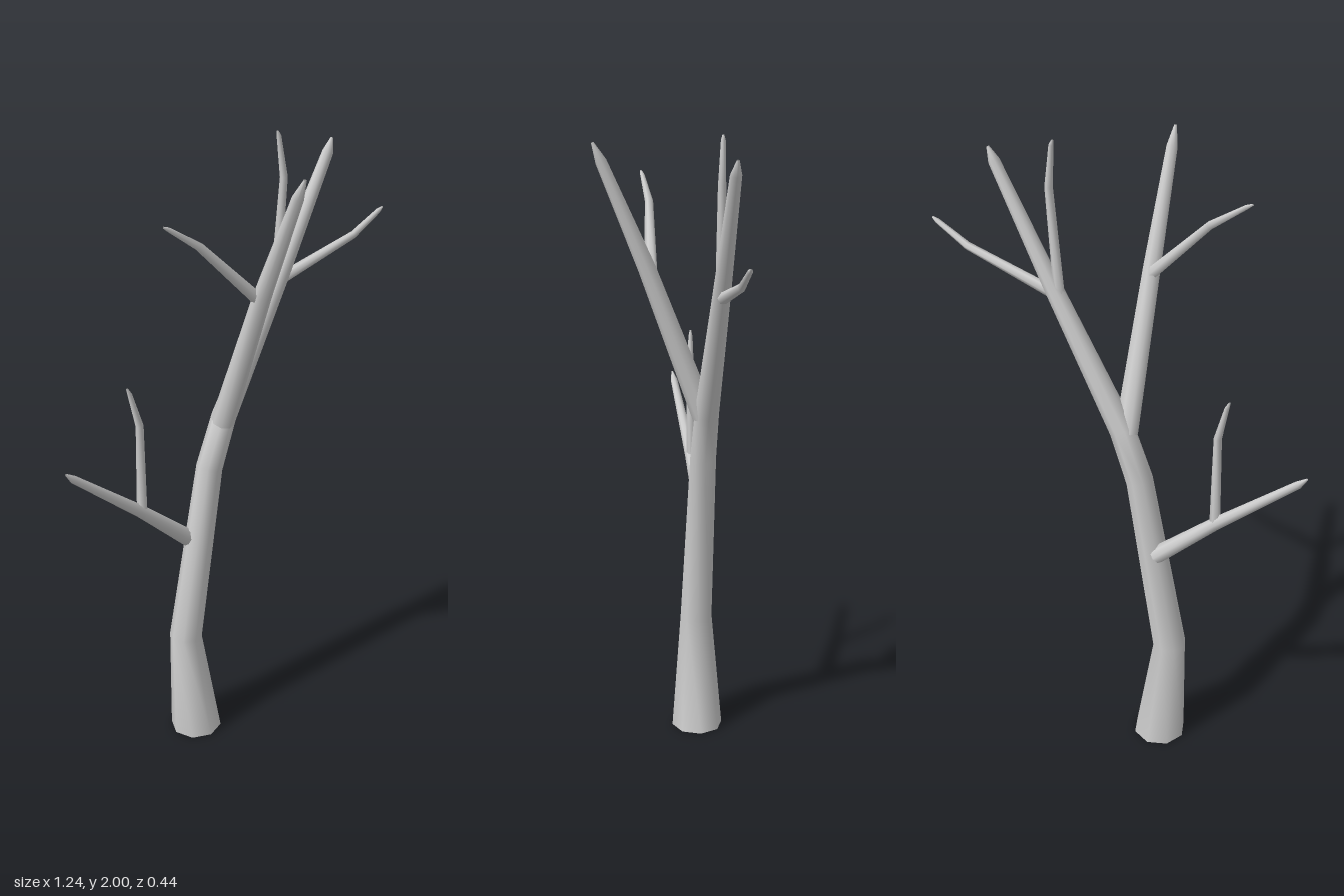
import * as THREE from 'three';

const bark = new THREE.MeshStandardMaterial({ color: 0xcccccc, side: THREE.DoubleSide });
bark.name = 'grey bark';

// Tapered limb: rings of vertices swept along stations [x, y, z, radius], open at its base
function limb(name, stations, sides = 8, baseNormal = null) {
  const centres = stations.map(s => new THREE.Vector3(s[0], s[1], s[2]));
  const last = centres.length - 1;
  const positions = [], index = [];
  centres.forEach((c, i) => {
    const before = centres[i].clone().sub(centres[Math.max(i - 1, 0)]).normalize();
    const after = centres[Math.min(i + 1, last)].clone().sub(c).normalize();
    const t = i === 0 && baseNormal ? baseNormal : before.add(after).normalize();
    const u = new THREE.Vector3(0, 0, 1).addScaledVector(t, -t.z).normalize();
    const v = new THREE.Vector3().crossVectors(t, u);
    for (let j = 0; j < sides; j++) {
      const a = (j / sides) * Math.PI * 2;
      const p = c.clone()
        .addScaledVector(u, Math.cos(a) * stations[i][3])
        .addScaledVector(v, Math.sin(a) * stations[i][3]);
      positions.push(p.x, p.y, p.z);
      if (i < last) {
        const k = (j + 1) % sides, r = i * sides, n = r + sides;
        index.push(r + j, r + k, n + j, r + k, n + k, n + j);
      }
    }
  });
  const geometry = new THREE.BufferGeometry();
  geometry.setAttribute('position', new THREE.Float32BufferAttribute(positions, 3));
  geometry.setIndex(index);
  geometry.computeVertexNormals();
  const mesh = new THREE.Mesh(geometry, bark);
  mesh.name = name;
  return mesh;
}

export function createModel() {
  const tree = new THREE.Group();
  tree.name = 'bareTree';

  tree.add(
    // Trunk bends twice and runs on into the right-leaning leader
    limb('trunk', [
      [-0.168, 0.005, -0.132, 0.085],
      [-0.2, 0.39, -0.132, 0.053],
      [-0.09, 0.98, -0.133, 0.042],
      [-0.03, 1.14, -0.133, 0.039],
      [0.2, 1.56, -0.134, 0.027],
      [0.38, 1.905, -0.135, 0.017],
      [0.397, 1.945, -0.137, 0.004],
    ], 8, new THREE.Vector3(0, 1, 0)),

    // Main branches
    limb('forwardBranch', [
      [-0.04, 1.13, -0.125, 0.037],
      [-0.026, 1.6, 0.055, 0.027],
      [-0.014, 1.915, 0.19, 0.017],
      [-0.011, 1.97, 0.215, 0.004],
    ]),
    limb('sideBranch', [
      [-0.16, 0.735, -0.15, 0.028],
      [-0.35, 0.91, -0.136, 0.02],
      [-0.595, 1.117, -0.115, 0.012],
      [-0.62, 1.142, -0.112, 0.003],
    ]),

    // Twigs, each with one bend
    limb('forwardTwig', [
      [-0.025, 1.575, 0.042, 0.02],
      [-0.225, 1.778, 0.021, 0.013],
      [-0.33, 1.85, 0.028, 0.007],
      [-0.348, 1.86, 0.03, 0.003],
    ], 6),
    limb('sideTwig', [
      [-0.348, 0.92, -0.136, 0.016],
      [-0.346, 1.205, -0.132, 0.012],
      [-0.373, 1.315, -0.136, 0.007],
      [-0.381, 1.335, -0.137, 0.003],
    ], 6),
    limb('upperTwig', [
      [0.177, 1.54, -0.134, 0.016],
      [0.203, 1.86, -0.13, 0.012],
      [0.187, 1.985, -0.135, 0.007],
      [0.182, 2.0, -0.136, 0.003],
    ], 6),
    limb('outerTwig', [
      [0.2, 1.54, -0.136, 0.018],
      [0.495, 1.62, -0.132, 0.012],
      [0.6, 1.677, -0.132, 0.008],
      [0.617, 1.686, -0.132, 0.003],
    ], 6),
  );
  return tree;
}
